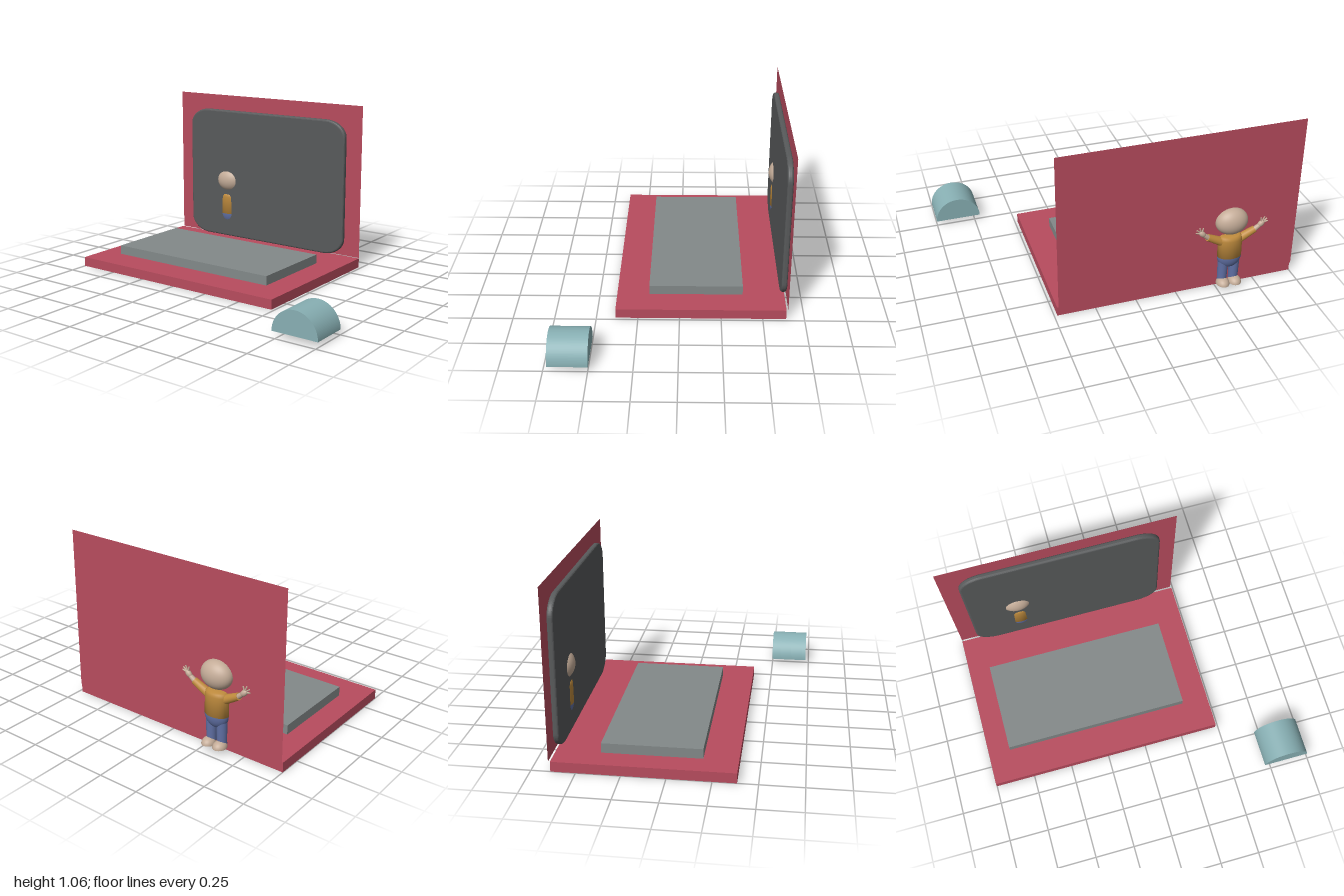
import * as THREE from 'three';

const mat = (color, side = THREE.FrontSide) => new THREE.MeshStandardMaterial({ color, side });
const RED = 0xb84c5e, SKIN = 0xc4ac98, SHIRT = 0xc08c3e, BLUE = 0x6070a4;

function add(parent, name, geometry, color, x = 0, y = 0, z = 0, side) {
  const mesh = new THREE.Mesh(geometry, mat(color, side));
  mesh.name = name;
  mesh.position.set(x, y, z);
  parent.add(mesh);
  return mesh;
}

// Tapered round limb between two points
function limb(parent, name, a, b, ra, rb, color) {
  const dir = b.clone().sub(a);
  const mid = a.clone().add(b).multiplyScalar(0.5);
  const m = add(parent, name, new THREE.CylinderGeometry(rb, ra, dir.length(), 20), color, mid.x, mid.y, mid.z);
  m.quaternion.setFromUnitVectors(new THREE.Vector3(0, 1, 0), dir.normalize());
  return m;
}

// Rounded rectangle with elliptical corners
function roundedPanel(w, h, rx, ry) {
  const s = new THREE.Shape();
  const x = w / 2, y = h / 2;
  s.moveTo(-x + rx, -y);
  s.lineTo(x - rx, -y);
  s.absellipse(x - rx, -y + ry, rx, ry, -Math.PI / 2, 0);
  s.absellipse(x - rx, y - ry, rx, ry, 0, Math.PI / 2);
  s.absellipse(-x + rx, y - ry, rx, ry, Math.PI / 2, Math.PI);
  s.absellipse(-x + rx, -y + ry, rx, ry, Math.PI, Math.PI * 1.5);
  return s;
}

function buildFigure() {
  const g = new THREE.Group();
  g.name = 'figure';
  const V = (x, y, z = 0) => new THREE.Vector3(x, y, z);

  add(g, 'head', new THREE.SphereGeometry(1, 32, 24), SKIN, 0, 0.46, 0).scale.set(0.1, 0.085, 0.07);

  // Shirt with a softly closed shoulder line
  const shirt = [[0, 0.368], [0.055, 0.366], [0.068, 0.358], [0.074, 0.34], [0.076, 0.22], [0, 0.22]]
    .reverse().map(p => new THREE.Vector2(...p));
  add(g, 'torso', new THREE.LatheGeometry(shirt, 32), SHIRT).scale.z = 0.69;

  // Bowl-shaped hips
  const hips = add(g, 'hips',
    new THREE.SphereGeometry(1, 32, 12, 0, Math.PI * 2, Math.PI / 2, Math.PI / 2), BLUE, 0, 0.222, 0);
  hips.scale.set(0.076, 0.085, 0.052);

  for (const s of [-1, 1]) {
    const side = s > 0 ? 'left' : 'right';
    limb(g, side + 'Leg', V(s * 0.036, 0.045), V(s * 0.036, 0.215), 0.029, 0.033, BLUE);

    // Domed shoe with a flat sole, toe pointing backwards
    const shoe = new THREE.Group();
    shoe.name = side + 'Shoe';
    shoe.position.set(s * 0.038, 0.032, -0.023);
    shoe.scale.set(0.04, 0.038, 0.048);
    add(shoe, 'upper', new THREE.SphereGeometry(1, 24, 10, 0, Math.PI * 2, 0, Math.PI / 2), SKIN);
    add(shoe, 'sole', new THREE.CircleGeometry(1, 24).rotateX(Math.PI / 2), SKIN);
    g.add(shoe);

    // Raised arm, sleeve, wrist and hand
    limb(g, side + 'Sleeve', V(s * 0.055, 0.325), V(s * 0.15, 0.378, -0.008), 0.028, 0.021, SHIRT);
    limb(g, side + 'Wrist', V(s * 0.145, 0.375, -0.008), V(s * 0.185, 0.408, -0.012), 0.016, 0.012, SKIN);
    const hand = add(g, side + 'Hand', new THREE.SphereGeometry(1, 20, 14), SKIN, s * 0.186, 0.411, -0.012);
    hand.scale.set(0.026, 0.017, 0.015);
    hand.rotation.z = s * 0.75;
    const tips = [[0.182, 0.452], [0.205, 0.456], [0.222, 0.444], [0.227, 0.425]];
    for (const [x, y] of tips)
      limb(g, side + 'Finger', V(s * 0.19, 0.415, -0.012), V(s * x, y, -0.014), 0.006, 0.004, SKIN);
  }
  return g;
}

export function createModel() {
  const root = new THREE.Group();
  root.name = 'laptopScene';

  // Base slab and keyboard block
  add(root, 'base', new THREE.BoxGeometry(1.482, 0.06, 1.025), RED, -0.259, 0.03, -0.128);
  add(root, 'keyboard', new THREE.BoxGeometry(1.172, 0.058, 0.572), 0x838989, -0.274, 0.089, -0.099);

  // Upright lid is a single thin sheet
  add(root, 'lid', new THREE.PlaneGeometry(1.476, 1.0), RED, -0.262, 0.06 + 0.5, -0.651, THREE.DoubleSide);

  // Screen with bevelled rim
  const bevel = 0.012;
  const screen = new THREE.ExtrudeGeometry(roundedPanel(1.258 - 2 * bevel, 0.9 - 2 * bevel, 0.14, 0.1), {
    depth: 0.012, bevelEnabled: true, bevelSize: bevel, bevelThickness: bevel, bevelSegments: 3, curveSegments: 10,
  });
  add(root, 'screen', screen, 0x585a5b, -0.26, 0.508, -0.638);

  // Half-cylinder mouse
  const dome = new THREE.Shape();
  dome.absarc(0, 0, 0.143, 0, Math.PI);
  dome.closePath();
  add(root, 'mouse', new THREE.ExtrudeGeometry(dome, { depth: 0.23, bevelEnabled: false, curveSegments: 32 }),
    0x88b0b4, 0.857, 0.03, 0.498);

  // Figure standing in the lid, facing backwards
  const figure = buildFigure();
  figure.position.set(-0.575, 0, -0.658);
  root.add(figure);

  return root;
}
